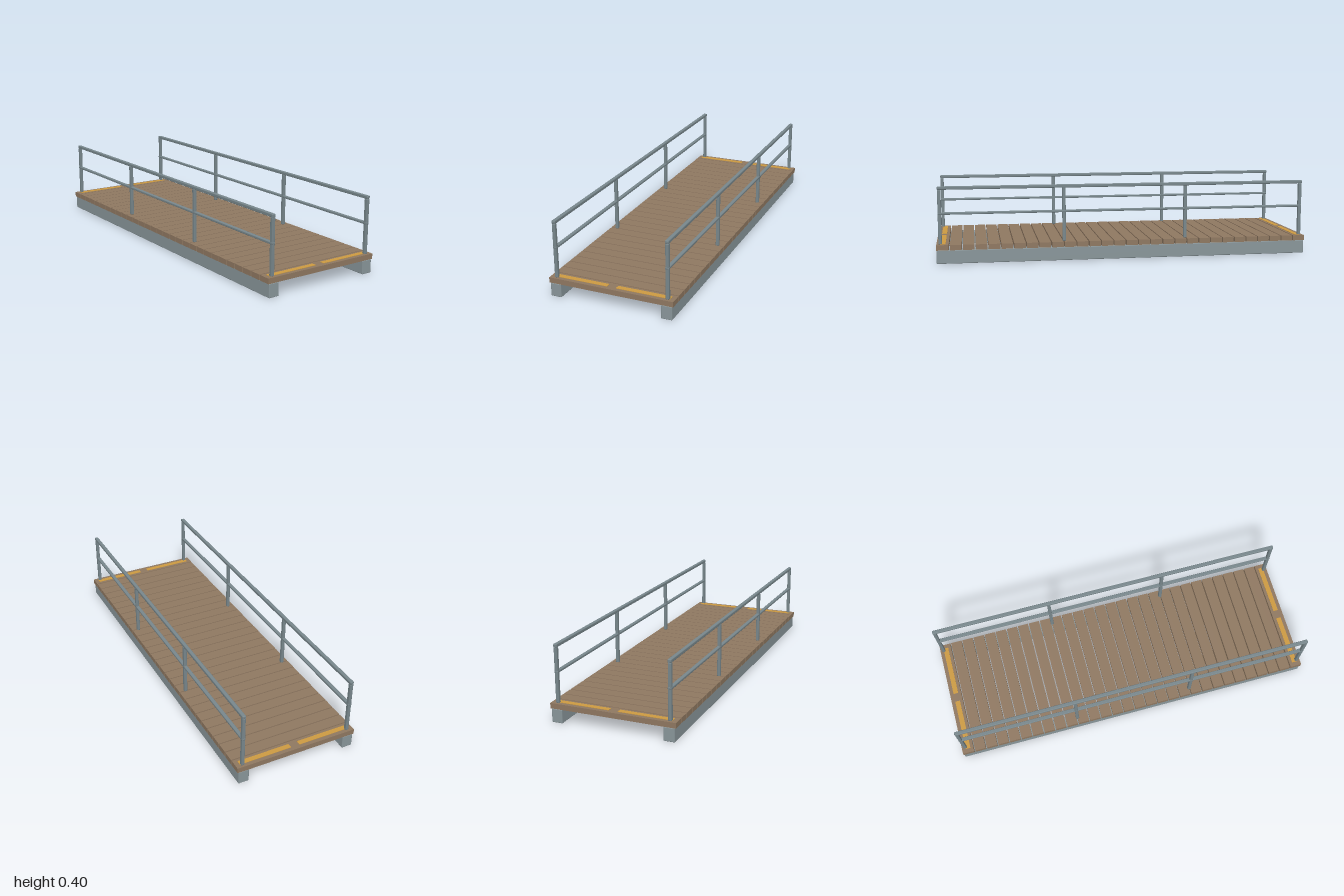
import * as THREE from 'three';
import { RoundedBoxGeometry } from 'three/addons/geometries/RoundedBoxGeometry.js';

const material = (name, color) => {
  const m = new THREE.MeshStandardMaterial({ color });
  m.name = name;
  return m;
};

export function createModel() {
  const wood = material('brown timber', 0x8f7861);
  const steel = material('grey steel', 0x89969a);
  const railSteel = material('rail steel', 0x78878c);
  const yellow = material('warning yellow', 0xcc9a42);

  const model = new THREE.Group();
  model.name = 'footbridge';

  const add = (name, geometry, mat, x, y, z) => {
    const mesh = new THREE.Mesh(geometry, mat);
    mesh.name = name;
    mesh.position.set(x, y, z);
    model.add(mesh);
  };

  // Deck planks with narrow gaps
  const count = 30;
  const pitch = 2 / count;
  const plank = new THREE.BoxGeometry(0.666, 0.028, pitch - 0.006);
  for (let i = 0; i < count; i++) {
    // end planks reach the full length of the deck
    const end = i === 0 ? -1 : i === count - 1 ? 1 : 0;
    const geometry = end ? new THREE.BoxGeometry(0.666, 0.028, pitch - 0.003) : plank;
    add('deckPlank', geometry, wood, 0, 0.086, -1 + (i + 0.5) * pitch + end * 0.0015);
  }

  // Bevelled bars shared by both sides
  const beam = new RoundedBoxGeometry(0.058, 0.072, 2, 1, 0.004);
  const post = new RoundedBoxGeometry(0.018, 0.286, 0.018, 1, 0.003);
  const topRail = new RoundedBoxGeometry(0.02, 0.017, 1.98, 1, 0.004);
  const midRail = new RoundedBoxGeometry(0.02, 0.012, 1.98, 1, 0.003);
  const strip = new THREE.BoxGeometry(0.286, 0.002, 0.027);

  for (const side of [-1, 1]) {
    // Girder under the deck edge
    add('girder', beam, steel, side * 0.298, 0.036, 0);
    // Handrail
    for (const z of [-0.98, -0.33, 0.33, 0.98]) {
      add('railPost', post, railSteel, side * 0.298, 0.243, z);
    }
    add('topRail', topRail, railSteel, side * 0.298, 0.3945, 0);
    add('midRail', midRail, railSteel, side * 0.298, 0.261, 0);
    // Warning strips at both ends
    for (const end of [-1, 1]) {
      add('warningStrip', strip, yellow, side * 0.167, 0.101, end * 0.966);
    }
  }
  return model;
}
